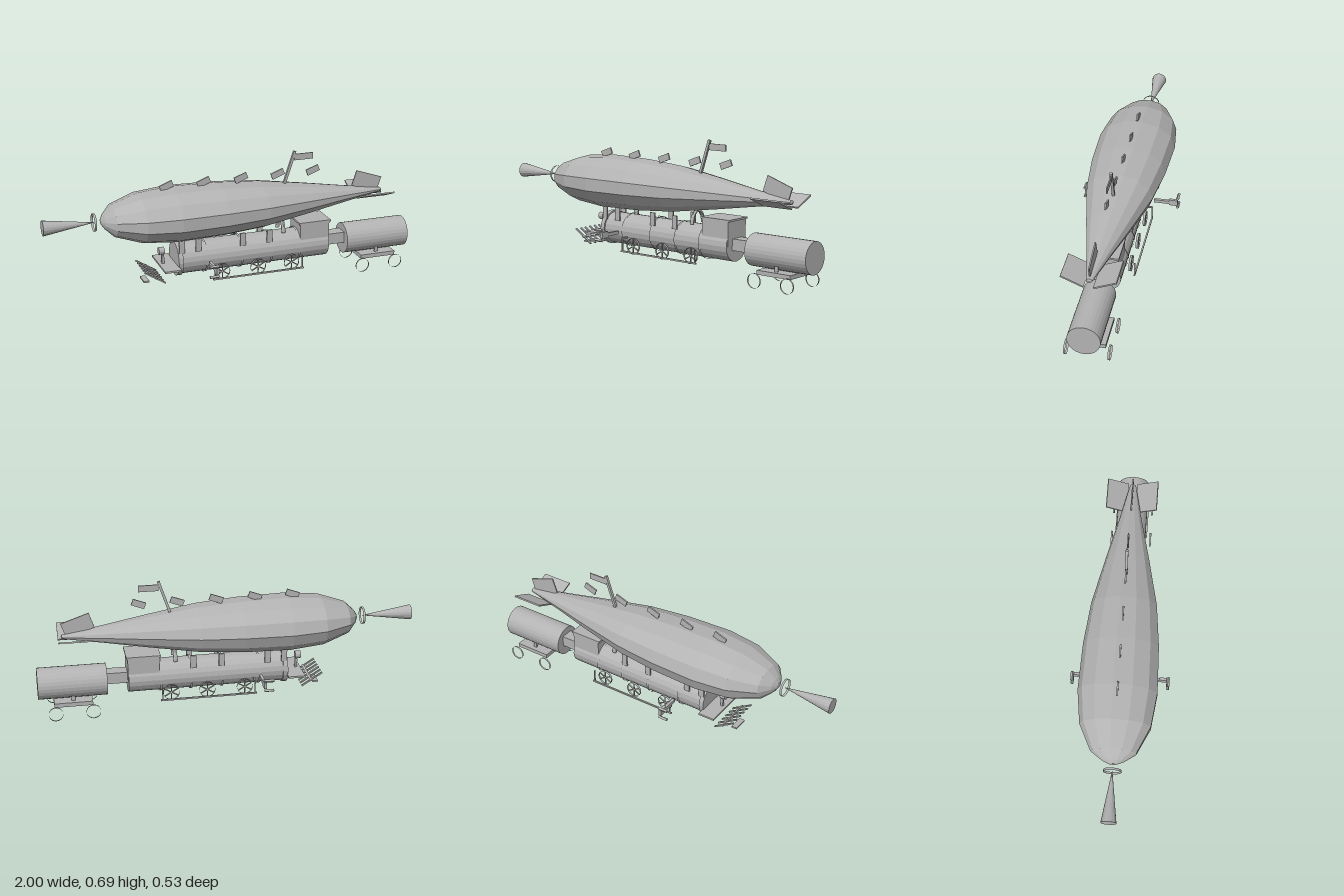
import * as THREE from 'three';

const grey = new THREE.MeshStandardMaterial({ color: 0xb3b3b3, flatShading: true, side: THREE.DoubleSide });
grey.name = 'plain grey';

export function createModel() {
  const model = new THREE.Group();
  model.name = 'airshipLocomotive';

  const add = (name, geo, x, y, z, rx = 0, rz = 0, parent = model) => {
    const m = new THREE.Mesh(geo, grey);
    m.name = name;
    m.position.set(x, y, z);
    m.rotation.set(rx, 0, rz);
    parent.add(m);
    return m;
  };
  const box = (name, w, h, d, x, y, z, rx, rz, parent) =>
    add(name, new THREE.BoxGeometry(w, h, d), x, y, z, rx, rz, parent);
  // Cylinder lying along x; rFront is the radius at the -x end
  const barrel = (name, rFront, rBack, x0, x1, y, sides, open = false) =>
    add(name, new THREE.CylinderGeometry(rFront, rBack, x1 - x0, sides, 1, open).rotateZ(Math.PI / 2),
      (x0 + x1) / 2, y, 0);

  // Envelope: thirteen-sided, flattened hull
  const hull = [[0.865, 0], [0.86, 0.016], [0.65, 0.062], [0.43, 0.115], [0.16, 0.175], [-0.07, 0.2],
    [-0.32, 0.208], [-0.5, 0.185], [-0.64, 0.118], [-0.685, 0.055], [-0.7, 0.02], [-0.7, 0]]
    .map(([x, r]) => new THREE.Vector2(r, -x));
  const envelope = new THREE.LatheGeometry(hull, 13).rotateY(Math.PI).rotateZ(Math.PI / 2).scale(1, 0.68, 1);
  add('envelope', envelope, 0, 0.424, 0);

  // Nose ring and cone
  barrel('noseRing', 0.046, 0.046, -0.741, -0.729, 0.425, 24, true);
  barrel('noseCone', 0.04, 0.001, -1, -0.735, 0.425, 16);

  // Ridge plates, mast and flag
  [-0.35, -0.15, 0.055, 0.26, 0.46].forEach((x, i) =>
    box('ridgePlate' + i, 0.072, 0.034, 0.008, x, 0.576, 0, 0, 0.36));
  box('mast', 0.014, 0.18, 0.014, 0.327, 0.606, 0, 0, -0.32);
  box('flag', 0.105, 0.034, 0.006, 0.407, 0.658, 0);

  // Tail fins
  box('tailFin', 0.155, 0.085, 0.007, 0.777, 0.48, 0, 0, -0.33);
  for (const s of [-1, 1])
    box('sideFin', 0.17, 0.008, 0.122, 0.795, 0.422, s * 0.08, -s * 0.41);

  // Boiler with front flange and bands
  barrel('boiler', 0.084, 0.084, -0.3, 0.53, 0.175, 20);
  barrel('boilerFlange', 0.092, 0.092, -0.315, -0.29, 0.175, 20);
  [-0.16, 0.035, 0.2, 0.36].forEach((x) => barrel('boilerBand', 0.09, 0.09, x - 0.006, x + 0.006, 0.175, 20, true));

  // Cab and hoop in front of it
  box('cab', 0.165, 0.13, 0.146, 0.45, 0.24, 0);
  box('cabRoof', 0.18, 0.01, 0.152, 0.45, 0.306, 0);
  add('hoop', new THREE.TorusGeometry(0.045, 0.006, 6, 14, Math.PI).rotateY(Math.PI / 2).scale(2, 1.5, 1),
    0.28, 0.258, 0);

  // Hanger blocks under the envelope
  for (const x of [-0.295, -0.205, 0.04, 0.19])
    for (const s of [-1, 1]) box('hanger', 0.03, 0.07, 0.009, x, 0.262, s * 0.075);

  // Tender with coupling, underframe and ring wheels
  box('coupling', 0.12, 0.06, 0.07, 0.585, 0.182, 0);
  barrel('tender', 0.083, 0.083, 0.64, 1, 0.169, 28);
  box('tenderFrame', 0.2, 0.022, 0.18, 0.82, 0.077, 0);
  for (const s of [-1, 1]) {
    for (const x of [0.72, 0.915])
      add('tenderWheel', new THREE.CylinderGeometry(0.0375, 0.0375, 0.01, 24, 1, true).rotateX(Math.PI / 2),
        x, 0.0375, s * 0.109);
    box('frameSupport', 0.02, 0.03, 0.006, 0.82, 0.1, s * 0.062);
  }

  // Running gear on each side of the boiler
  for (const s of [-1, 1]) {
    for (const x of [-0.08, 0.12, 0.31]) {
      const wheel = new THREE.Group();
      wheel.name = 'drivingWheel';
      wheel.position.set(x, 0.105, s * 0.093);
      add('rim', new THREE.CylinderGeometry(0.042, 0.042, 0.012, 20, 1, true).rotateX(Math.PI / 2), 0, 0, 0, 0, 0, wheel);
      for (let i = 0; i < 3; i++) box('spoke', 0.082, 0.005, 0.006, 0, 0, 0, 0, Math.PI / 6 + i * Math.PI / 3, wheel);
      model.add(wheel);
    }
    box('sideRod', 0.51, 0.008, 0.008, 0.115, 0.077, s * 0.122);
    for (const x of [-0.13, 0.36]) box('rodLink', 0.005, 0.075, 0.008, x, 0.112, s * 0.122);
    box('rodBracket', 0.008, 0.008, 0.04, -0.13, 0.147, s * 0.106);
  }

  // Side propellers
  for (const s of [-1, 1]) {
    box('propellerArm', 0.015, 0.018, 0.085, -0.158, 0.176, s * 0.17);
    box('propellerBox', 0.015, 0.034, 0.046, -0.158, 0.177, s * 0.233);
    for (const t of [-1, 1])
      box('propellerBlade', 0.05, 0.012, 0.012, -0.177, 0.177 + t * 0.027, s * 0.256, s * t * 0.6);
  }

  // Front footplate, lamp and post
  box('footplate', 0.09, 0.01, 0.25, -0.355, 0.15, 0);
  barrel('lamp', 0.02, 0.02, -0.4, -0.37, 0.225, 12);
  box('lampPost', 0.013, 0.05, 0.013, -0.377, 0.178, 0);

  // Slatted guard at the front
  for (let i = 0; i < 6; i++)
    box('guardSlat', 0.13, 0.007, 0.01, -0.445, 0.116, -0.09 + i * 0.036, 0, -0.56);
  box('guardBar', 0.012, 0.008, 0.2, -0.44, 0.113, 0, 0, -0.56);
  box('guardStep', 0.03, 0.009, 0.08, -0.477, 0.077, 0);

  return model;
}
